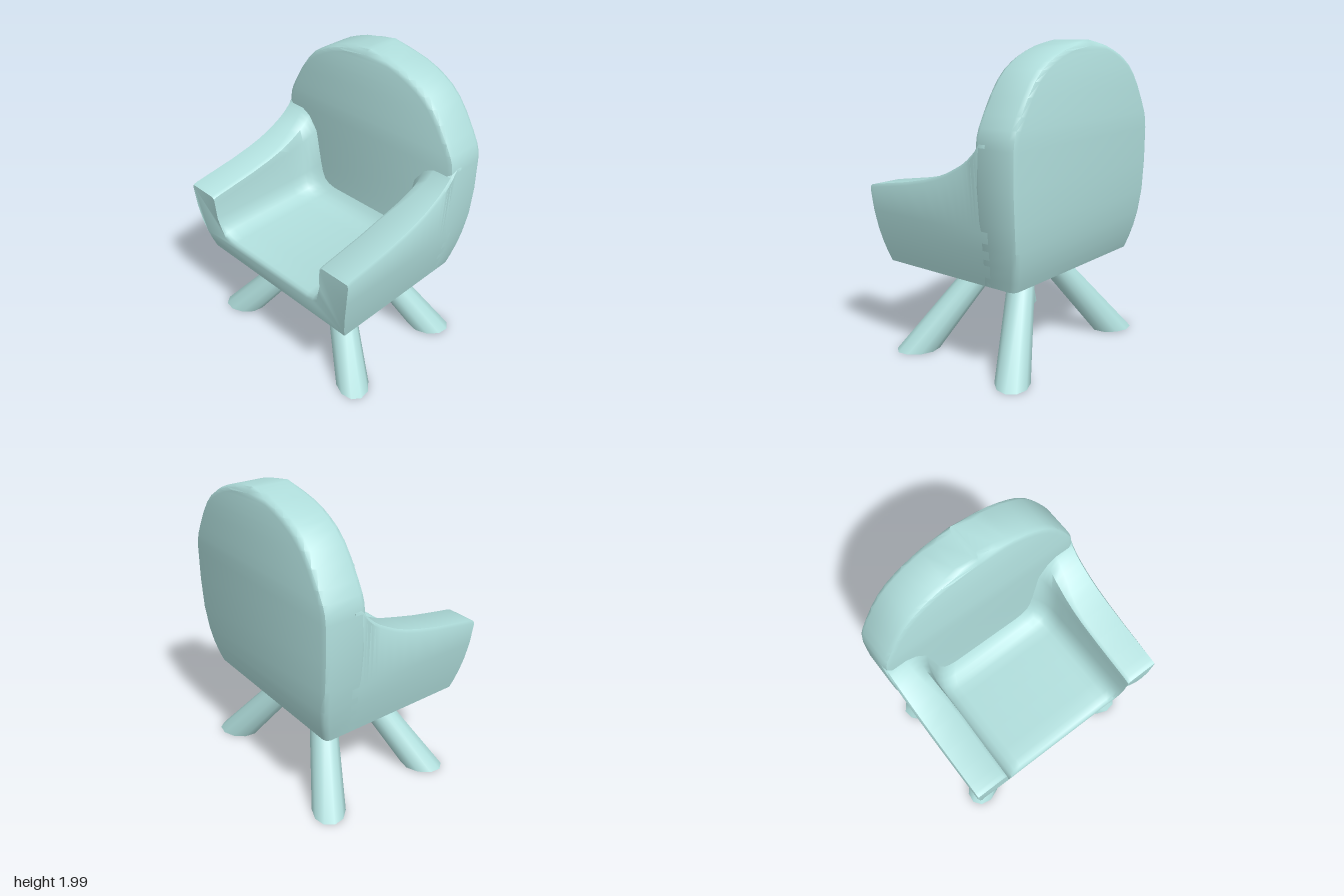
import * as THREE from 'three';
import { toCreasedNormals } from 'three/addons/utils/BufferGeometryUtils.js';

const material = new THREE.MeshStandardMaterial({ color: 0xb0dedc, side: THREE.DoubleSide });

// Shell narrows towards its base
const drop = (y) => Math.max(0, (1.2 - y) / 0.6);
const taperX = (y) => 1 - 0.137 * drop(y) ** 1.75;
const taperZ = (y) => 1 - 0.13 * drop(y) ** 3;

// Linear lookup in rows sorted by their first value
function lookup(rows, t, col = 1) {
  let i = 0;
  while (i < rows.length - 2 && t > rows[i + 1][0]) i++;
  const [a, b] = [rows[i], rows[i + 1]];
  const k = THREE.MathUtils.clamp((t - a[0]) / (b[0] - a[0]), 0, 1);
  return a[col] + (b[col] - a[col]) * k;
}

// Skin closed rings of points; flatten maps a point to the plane of the caps
function loft(rings, flatten, crease) {
  const n = rings[0].length;
  const index = [];
  for (let r = 0; r < rings.length - 1; r++) {
    for (let i = 0; i < n; i++) {
      const a = r * n + i, b = r * n + ((i + 1) % n);
      index.push(a, b, b + n, a, b + n, a + n);
    }
  }
  const cap = (r, flip) => {
    const contour = rings[r].map((p) => new THREE.Vector2(...flatten(p)));
    for (const [a, b, c] of THREE.ShapeUtils.triangulateShape(contour, [])) {
      const o = r * n;
      index.push(o + a, o + (flip ? c : b), o + (flip ? b : c));
    }
  };
  cap(0, true);
  cap(rings.length - 1, false);
  const g = new THREE.BufferGeometry();
  g.setAttribute('position', new THREE.Float32BufferAttribute(rings.flat(2), 3));
  g.setIndex(index);
  return toCreasedNormals(g, crease);
}

// Rounded backrest, stacked from horizontal slices
function backrest() {
  // height, half width, half width of the flat face inside the rounded edge
  const rows = [
    [0.6, 0.72, 0.68], [0.66, 0.72, 0.68], [0.75, 0.72, 0.68], [0.85, 0.72, 0.68],
    [1.0, 0.72, 0.68], [1.2, 0.72, 0.68], [1.42, 0.72, 0.68], [1.48, 0.713, 0.673],
    [1.53, 0.695, 0.655], [1.6, 0.658, 0.617], [1.7, 0.598, 0.555], [1.78, 0.54, 0.49],
    [1.84, 0.48, 0.415], [1.88, 0.42, 0.34], [1.91, 0.365, 0.27], [1.94, 0.29, 0.18],
    [1.965, 0.215, 0.002], [1.985, 0.13, 0.001], [1.999, 0.02, 0.0005],
  ];
  const e = 0.038;
  const rings = rows.map(([y, w, f]) => {
    const shrink = Math.max(0, y - 1.965);
    const front = -0.295 - shrink * 0.6, back = -0.582 + shrink * 0.6;
    const m = f + (w - f) * 0.7;
    const side = [
      [f, front], [m, front - e * 0.3], [w, front - e],
      [w, back + e], [m, back + e * 0.3], [f, back],
    ];
    const ring = [...side, ...side.map(([x, z]) => [-x, z]).reverse()];
    return ring.map(([x, z]) => [x * taperX(y), y, z * taperZ(y)]);
  });
  return loft(rings, ([x, , z]) => [x, -z], 0.75);
}

// Seat and arms as one U-shaped section swept from back to front
function seatAndArms() {
  const armTop = [
    [-0.4, 1.46], [-0.335, 1.46], [-0.295, 1.4], [-0.25, 1.355], [-0.2, 1.318], [-0.1, 1.262],
    [0, 1.224], [0.1, 1.195], [0.25, 1.162], [0.4, 1.137], [0.565, 1.11], [0.582, 1.1],
  ];
  const fillet = [[-0.34, 0.15], [-0.295, 0.085], [-0.26, 0.04], [-0.21, 0.012], [-0.15, 0]];
  const seatLip = [[0.5, 0], [0.55, 0.008], [0.57, 0.02], [0.582, 0.042]];
  const stations = [-0.38, -0.335, -0.295, -0.27, -0.24, -0.2, -0.15, -0.08, 0, 0.1, 0.25, 0.4,
    0.5, 0.55, 0.57, 0.582];
  const rings = stations.map((z) => {
    const top = lookup(armTop, z);
    const f = lookup(fillet, z);
    const seat = 0.797 + f - lookup(seatLip, z);
    const soft = 0.07 * THREE.MathUtils.smoothstep(-z, -0.1, 0.3);
    const outer = [0.6, 0.66, 0.73, 0.82, 0.94, top - 0.02].map((y) => [0.72 * taperX(y), y]);
    const inner = [
      [0.708, top], [0.51 + soft, top], [0.49 + soft * 0.3, top - 0.015 - soft * 0.3],
      [0.485 - f * 0.5, top - 0.06 - soft], [0.48 - f, 0.94 + f], [0.462 - f, 0.88 + f],
      [0.435 - f, seat + 0.036], [0.395 - f, seat + 0.012], [0.34 - f, seat],
    ];
    const half = [...outer, ...inner];
    const ring = [...half, ...half.map(([x, y]) => [-x, y]).reverse()];
    return ring.map(([x, y]) => [x, y, z * taperZ(y)]);
  });
  return loft(rings, ([x, y]) => [x, y], 0.75);
}

// Splayed leg cut level at the floor and under the seat
function leg(sx, sz) {
  const foot = new THREE.Vector3(sx * 0.555, 0.008, sz > 0 ? 0.355 : -0.44);
  const head = new THREE.Vector3(sx * 0.105, 0.62, sz > 0 ? 0.07 : -0.165);
  const axis = head.clone().sub(foot).normalize();
  const turn = new THREE.Quaternion().setFromUnitVectors(new THREE.Vector3(0, 1, 0), axis);
  const g = new THREE.CylinderGeometry(0.082, 0.108, 1, 10, 1);
  const p = g.attributes.position;
  const v = new THREE.Vector3();
  for (let i = 0; i < p.count; i++) {
    const end = p.getY(i) > 0 ? head : foot;
    v.set(p.getX(i), 0, p.getZ(i)).applyQuaternion(turn);
    v.addScaledVector(axis, -v.y / axis.y).add(end);
    p.setXYZ(i, v.x, v.y, v.z);
  }
  return toCreasedNormals(g, 0.75);
}

export function createModel() {
  const model = new THREE.Group();
  model.name = 'armchair';
  const add = (name, geometry) => {
    const mesh = new THREE.Mesh(geometry, material);
    mesh.name = name;
    model.add(mesh);
  };
  add('backrest', backrest());
  add('seatAndArms', seatAndArms());
  for (const [side, sx] of [['Left', 1], ['Right', -1]]) {
    add(`front${side}Leg`, leg(sx, 1));
    add(`back${side}Leg`, leg(sx, -1));
  }
  return model;
}
